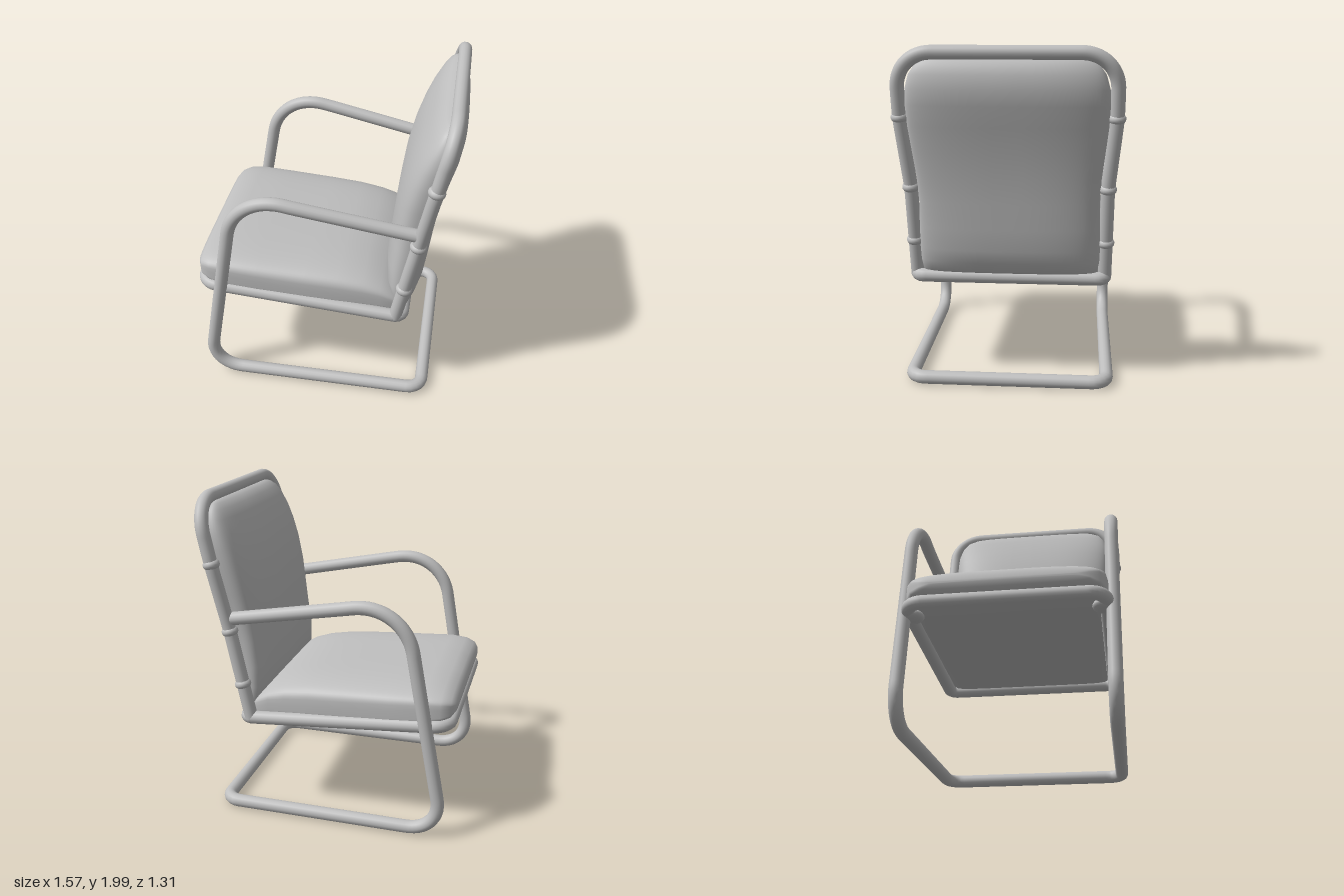
import * as THREE from 'three';

const R = 0.04; // tube radius

const V = (x, y, z) => new THREE.Vector3(x, y, z);

// Polyline of [x, y, z, bend] whose corners are rounded over the distance bend.
function bentPath(points) {
  const path = new THREE.CurvePath();
  const p = points.map(([x, y, z]) => V(x, y, z));
  let from = p[0];
  for (let i = 1; i < p.length - 1; i++) {
    const bend = points[i][3];
    const a = p[i].clone().add(p[i - 1].clone().sub(p[i]).setLength(bend));
    const b = p[i].clone().add(p[i + 1].clone().sub(p[i]).setLength(bend));
    path.add(new THREE.LineCurve3(from, a));
    path.add(new THREE.CubicBezierCurve3(a, a.clone().lerp(p[i], 0.57), b.clone().lerp(p[i], 0.57), b));
    from = b;
  }
  path.add(new THREE.LineCurve3(from, p[p.length - 1]));
  return path;
}

// Points of the +z half followed by their mirror image.
const mirrored = (half) => [...half, ...half.slice().reverse().map(([x, y, z, b]) => [x, y, -z, b])];

// Closed cushion from rounded sections; rows are [t, centre, high, low, halfWidth].
function cushionGeometry(rows, place, nHigh, nLow) {
  const SEG = 72;
  const pos = [], index = [];
  const first = rows[0], last = rows[rows.length - 1];
  const collapse = ([t, c]) => [t, c, c, c, 0];
  const all = [collapse(first), ...rows, collapse(last)];
  for (const [t, c, high, low, w] of all) {
    for (let j = 0; j < SEG; j++) {
      const a = (j / SEG) * Math.PI * 2;
      const co = Math.cos(a), si = Math.sin(a);
      const n = co >= 0 ? nHigh : nLow;
      const depth = Math.pow(Math.abs(co), 2 / n) * (co >= 0 ? high - c : low - c);
      const side = Math.sign(si) * Math.pow(Math.abs(si), 2 / n) * w;
      pos.push(...place(t, c + depth, side));
    }
  }
  for (let i = 0; i < all.length - 1; i++) {
    for (let j = 0; j < SEG; j++) {
      const k = (j + 1) % SEG;
      const a = i * SEG + j, b = i * SEG + k;
      index.push(a, a + SEG, b, b, a + SEG, b + SEG);
    }
  }
  const g = new THREE.BufferGeometry();
  g.setAttribute('position', new THREE.Float32BufferAttribute(pos, 3));
  g.setIndex(index);
  g.computeVertexNormals();
  return g;
}

export function createModel() {
  const model = new THREE.Group();
  model.name = 'cantileverArmchair';
  const grey = new THREE.MeshStandardMaterial({ color: 0xbfbfbf });
  grey.name = 'light grey';

  const add = (name, geometry) => {
    const mesh = new THREE.Mesh(geometry, grey);
    mesh.name = name;
    model.add(mesh);
    return mesh;
  };
  const tube = (name, points, segments) =>
    add(name, new THREE.TubeGeometry(bentPath(points), segments, R, 16, false));

  // Arms, legs and floor base bent from one continuous tube
  tube('armAndBaseFrame', mirrored([
    [0.57, 1.265, 0.56],
    [-0.15, 1.402, 0.602, 0.03],
    [-0.49, 1.465, 0.605, 0.3],
    [-0.72, 0.3, 0.608, 0.02],
    [-0.745, 0.05, 0.585, 0.22],
    [0.65, 0.05, 0.58, 0.09],
  ].map((p, i) => (i === 3 ? null : p)).filter(Boolean)), 320);

  // Backrest hoop
  tube('backrestFrame', mirrored([
    [0.46, 0.64, 0.56],
    [0.57, 1.19, 0.565, 0.06],
    [0.65, 1.6, 0.605, 0.06],
    [0.724, 1.958, 0.605, 0.2],
  ]), 200);

  // Seat rail, closed at the middle of the back bar
  tube('seatRail', [
    [0.5, 0.637, 0],
    [0.5, 0.637, 0.56, 0.05],
    [-0.75, 0.73, 0.56, 0.1],
    [-0.75, 0.73, -0.56, 0.1],
    [0.5, 0.637, -0.56, 0.05],
    [0.5, 0.637, 0],
  ], 240);

  for (const s of [1, -1]) {
    const side = s > 0 ? 'left' : 'right';
    // Collars on the uprights
    for (const [x, y, z] of [[0.504, 0.86, 0.562], [0.57, 1.19, 0.566], [0.648, 1.6, 0.603]]) {
      const collar = add(side + 'Collar', new THREE.SphereGeometry(0.05, 20, 12));
      collar.position.set(x, y, z * s);
      collar.scale.set(1, 0.7, 1);
      collar.rotation.z = -0.2;
    }
    // Rounded foot of the upright
    add(side + 'UprightFoot', new THREE.SphereGeometry(R, 16, 12)).position.set(0.46, 0.64, 0.56 * s);
    // Bracket joining seat rail and leg
    const bracket = add(side + 'SeatBracket', new THREE.SphereGeometry(0.07, 20, 12));
    bracket.position.set(-0.62, 0.705, 0.54 * s);
    bracket.scale.set(1, 0.5, 0.9);
  }

  // Seat cushion, nose at the front and sinking towards the back
  add('seatCushion', cushionGeometry([
    [-0.787, 0.83, 0.84, 0.82, 0.42],
    [-0.78, 0.83, 0.87, 0.79, 0.48],
    [-0.755, 0.83, 0.9, 0.76, 0.535],
    [-0.7, 0.83, 0.925, 0.73, 0.565],
    [-0.6, 0.82, 0.938, 0.705, 0.577],
    [-0.4, 0.8, 0.93, 0.69, 0.577],
    [-0.1, 0.775, 0.918, 0.675, 0.57],
    [0.1, 0.76, 0.905, 0.662, 0.562],
    [0.25, 0.745, 0.88, 0.652, 0.55],
    [0.36, 0.73, 0.84, 0.645, 0.54],
    [0.44, 0.7, 0.79, 0.64, 0.53],
    [0.5, 0.68, 0.72, 0.638, 0.5],
  ], (t, d, w) => [t, d, -w], 3.6, 7));

  // Back cushion, full at the front and gently domed behind
  add('backCushion', cushionGeometry([
    [0.66, 0.49, 0.52, 0.465, 0.48],
    [0.68, 0.49, 0.55, 0.44, 0.515],
    [0.74, 0.49, 0.585, 0.395, 0.527],
    [0.82, 0.5, 0.61, 0.375, 0.53],
    [0.95, 0.52, 0.628, 0.37, 0.528],
    [1.1, 0.55, 0.645, 0.385, 0.522],
    [1.25, 0.58, 0.665, 0.4, 0.528],
    [1.4, 0.61, 0.695, 0.42, 0.545],
    [1.55, 0.64, 0.73, 0.455, 0.562],
    [1.67, 0.665, 0.765, 0.495, 0.567],
    [1.76, 0.68, 0.78, 0.535, 0.563],
    [1.84, 0.69, 0.775, 0.58, 0.54],
    [1.89, 0.695, 0.755, 0.615, 0.505],
    [1.92, 0.7, 0.735, 0.65, 0.455],
    [1.932, 0.7, 0.715, 0.68, 0.4],
  ], (t, d, w) => [d, t, w], 2.6, 3.6));

  return model;
}
